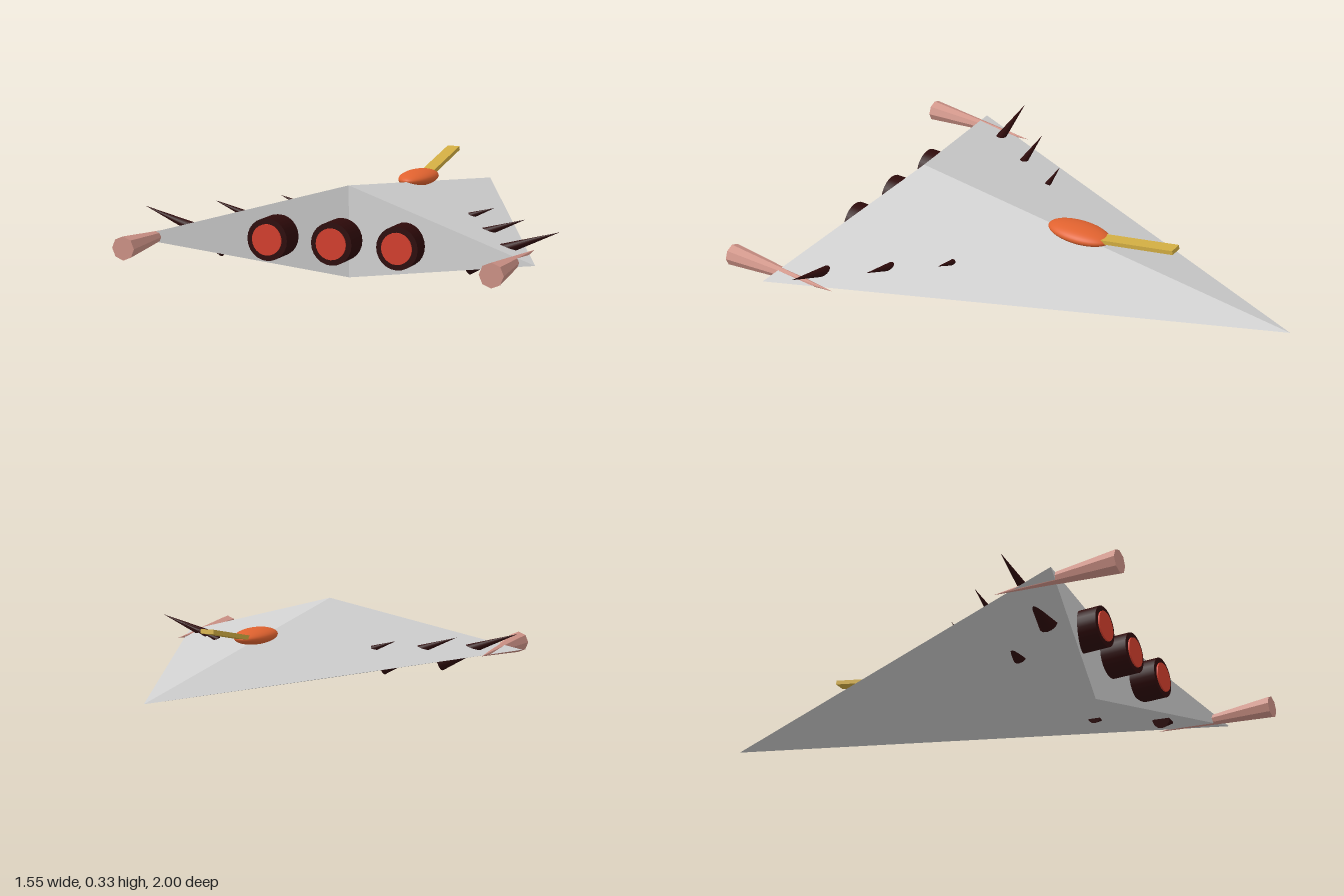
import * as THREE from 'three';

const mat = (name, color, extra = {}) =>
  Object.assign(new THREE.MeshStandardMaterial({ color, ...extra }), { name });

export function createModel() {
  const model = new THREE.Group();
  const hullGrey = mat('hull grey', 0xd0d0d0, { flatShading: true });
  const darkMaroon = mat('dark maroon', 0x2e0a0a);
  const glowRed = mat('glow red', 0xd8402e);
  const flamePink = mat('flame pink', 0xd09488, { flatShading: true });
  const domeOrange = mat('dome orange', 0xe0622f);
  const barrelGold = mat('barrel gold', 0xd0ac42);

  const add = (name, geometry, material, x = 0, y = 0, z = 0) => {
    const mesh = new THREE.Mesh(geometry, material);
    mesh.name = name;
    mesh.position.set(x, y, z);
    model.add(mesh);
    return mesh;
  };

  // Cone running from the centre of its base to its tip
  const addCone = (name, base, tip, radius, sides, material) => {
    const a = new THREE.Vector3(...base), b = new THREE.Vector3(...tip);
    const axis = b.clone().sub(a);
    const cone = add(name, new THREE.ConeGeometry(radius, axis.length(), sides), material);
    cone.position.copy(a).lerp(b, 0.5);
    cone.quaternion.setFromUnitVectors(new THREE.Vector3(0, 1, 0), axis.normalize());
  };

  // Faceted arrowhead hull
  const nose = [0, 0.135, -1], top = [0, 0.33, 0.58], bottom = [0, 0.004, 0.58];
  const left = [0.742, 0.135, 0.79], right = [-0.742, 0.135, 0.79];
  const faces = [
    nose, top, left, nose, right, top,
    nose, left, bottom, nose, bottom, right,
    top, bottom, left, top, right, bottom,
  ];
  const hull = new THREE.BufferGeometry();
  hull.setAttribute('position', new THREE.Float32BufferAttribute(faces.flat(), 3));
  hull.computeVertexNormals();
  add('hull', hull, hullGrey);

  // Turret dome and its raised barrel
  add('turretDome', new THREE.SphereGeometry(1, 32, 20), domeOrange, 0, 0.26, -0.123)
    .scale.set(0.067, 0.03, 0.13);
  const barrel = add('barrel', new THREE.BoxGeometry(0.05, 0.016, 0.36), barrelGold, 0, 0.289, -0.352);
  barrel.rotation.x = Math.atan2(0.058, 0.31);

  // Row of three engines with glowing nozzles
  for (const x of [-0.24, 0, 0.24]) {
    add('engine', new THREE.CylinderGeometry(0.075, 0.075, 0.1, 24), darkMaroon, x, 0.15, 0.69)
      .rotation.x = Math.PI / 2;
    add('engineGlow', new THREE.CylinderGeometry(0.055, 0.055, 0.008, 24), glowRed, x, 0.15, 0.742)
      .rotation.x = Math.PI / 2;
  }

  for (const s of [1, -1]) {
    // Wingtip flames, widening to the rear
    addCone('wingtipFlame', [s * 0.66, 0.137, 1], [s * 0.66, 0.137, 0.53], 0.042, 8, flamePink);

    // Upper spikes: base x, tip x, z, radius
    for (const [bx, tx, z, r] of [
      [0.57, 0.775, 0.62, 0.021], [0.44, 0.595, 0.42, 0.017], [0.325, 0.42, 0.225, 0.012],
    ]) {
      addCone('upperSpike', [s * bx, 0.22 - 0.36 * (tx - bx), z], [s * tx, 0.22, z], r, 12, darkMaroon);
    }

    // Lower spikes, blunt ends showing under the wing
    addCone('lowerSpike', [s * 0.455, 0.09, 0.63], [s * 0.62, 0.145, 0.63], 0.035, 12, darkMaroon);
    addCone('lowerSpike', [s * 0.29, 0.082, 0.43], [s * 0.42, 0.125, 0.43], 0.026, 12, darkMaroon);
  }
  return model;
}
